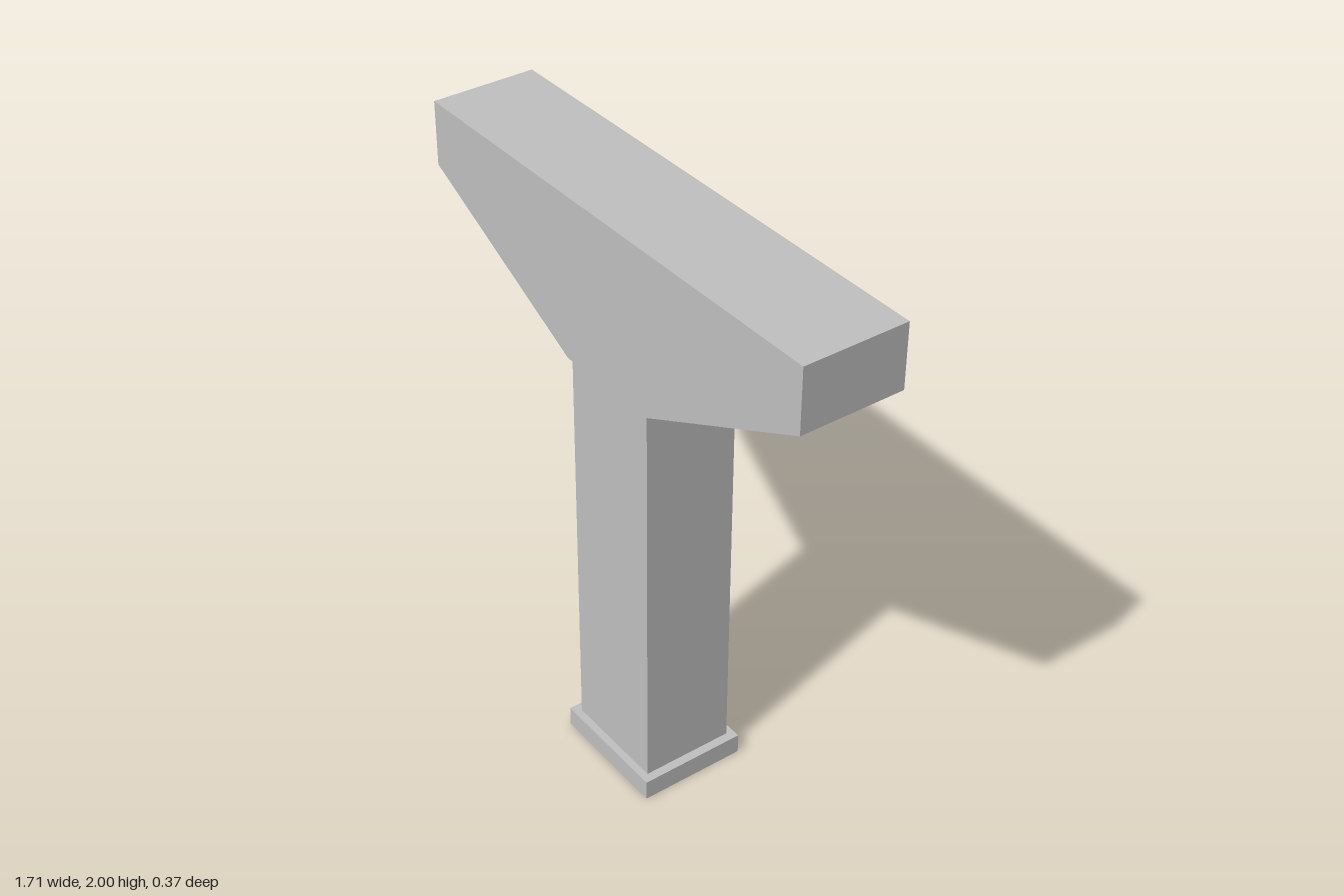
import * as THREE from 'three';

// Half sizes of the column section and of the foot collar
const COL_X = 0.1825, COL_Z = 0.157;
const FOOT_X = 0.2125, FOOT_Z = 0.1825, FOOT_H = 0.07;
const CAP_X = 0.855, CAP_Z = 0.172, CAP_Y = 1.46, TOP = 2;

const outline = (points) => points.map(([x, y]) => new THREE.Vector2(x, y));
const rect = (w, d) => outline([[-w, -d], [w, -d], [w, d], [-w, d]]);

function extrude(shape, depth) {
  return new THREE.ExtrudeGeometry(shape, { depth, bevelEnabled: false });
}

export function createModel() {
  const model = new THREE.Group();
  model.name = 'bridgePier';
  const concrete = new THREE.MeshStandardMaterial({ color: 0xc0c0c0 });
  concrete.name = 'concrete';

  function add(name, geometry) {
    const mesh = new THREE.Mesh(geometry, concrete);
    mesh.name = name;
    model.add(mesh);
    return mesh;
  }

  // Foot collar: open frame, so the column's underside shows as a recess
  const frame = new THREE.Shape(rect(FOOT_X, FOOT_Z));
  frame.holes.push(new THREE.Path(rect(COL_X, COL_Z)));
  add('footCollar', extrude(frame, FOOT_H).rotateX(-Math.PI / 2));

  // Column standing on the collar
  const height = CAP_Y - FOOT_H;
  add('column', new THREE.BoxGeometry(COL_X * 2, height, COL_Z * 2))
    .position.y = FOOT_H + height / 2;

  // Hammerhead cap with sloping undersides
  const cap = new THREE.Shape(outline([
    [-COL_X, CAP_Y], [COL_X, CAP_Y], [CAP_X, 1.79],
    [CAP_X, TOP], [-CAP_X, TOP], [-CAP_X, 1.79],
  ]));
  add('hammerheadCap', extrude(cap, CAP_Z * 2).translate(0, 0, -CAP_Z));

  return model;
}
